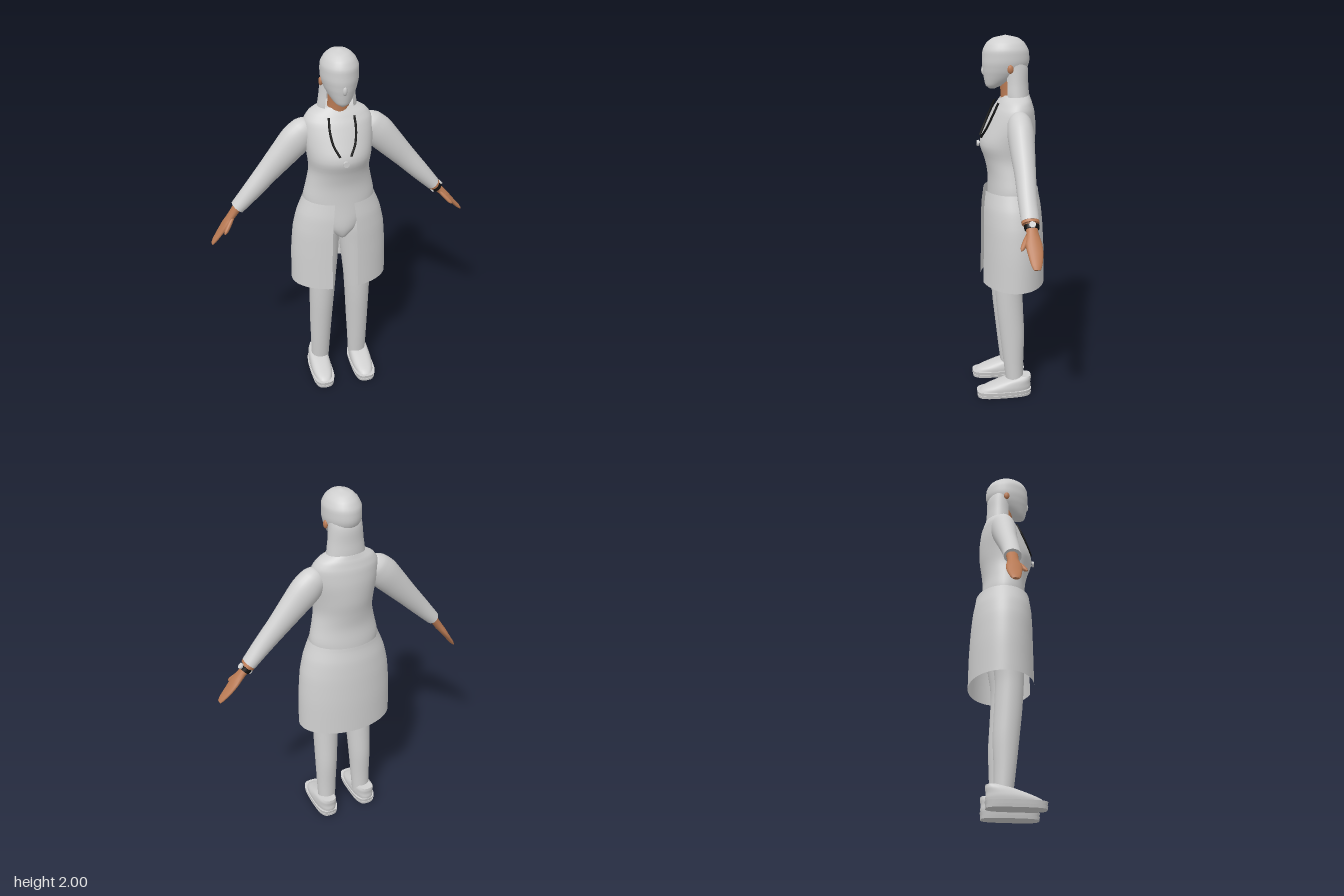
import * as THREE from 'three';

const mat = (name, color, side = THREE.FrontSide) => {
  const m = new THREE.MeshStandardMaterial({ color, side });
  m.name = name;
  return m;
};

// Smooth skin over elliptical rings [y, cx, cz, rx, rz], listed bottom to top.
// gap > 0 leaves the front open by that half angle; power < 1 squares the outline.
function loft(rings, { sides = 28, steps = 4, gap = 0, power = 1, shift = 0 } = {}) {
  const mid = new THREE.CatmullRomCurve3(rings.map(r => new THREE.Vector3(r[1], r[0], r[2])));
  const rad = new THREE.CatmullRomCurve3(rings.map(r => new THREE.Vector3(r[3], 0, r[4])));
  const rows = (rings.length - 1) * steps, cols = gap ? sides + 1 : sides;
  const pos = [], idx = [];
  const bend = v => Math.sign(v) * Math.abs(v) ** power;
  const addRing = t => {
    const c = mid.getPoint(t), r = rad.getPoint(t);
    for (let i = 0; i < cols; i++) {
      const a = gap + (i / sides) * (Math.PI * 2 - 2 * gap);
      pos.push(c.x + shift + r.x * bend(Math.sin(a)), c.y, c.z + r.z * bend(Math.cos(a)));
    }
    return c;
  };
  for (let j = 0; j <= rows; j++) addRing(j / rows);
  for (let j = 0; j < rows; j++) for (let i = 0; i < sides; i++) {
    const k = (i + 1) % cols, a = j * cols, b = a + cols;
    idx.push(a + i, a + k, b + k, a + i, b + k, b + i);
  }
  // Flat end caps
  if (!gap) for (const t of [0, 1]) {
    const start = pos.length / 3, c = addRing(t), hub = pos.length / 3;
    pos.push(c.x + shift, c.y, c.z);
    for (let i = 0; i < sides; i++) {
      const p = start + i, q = start + (i + 1) % sides;
      idx.push(hub, ...(t ? [p, q] : [q, p]));
    }
  }
  const g = new THREE.BufferGeometry();
  g.setAttribute('position', new THREE.Float32BufferAttribute(pos, 3));
  g.setIndex(idx);
  g.computeVertexNormals();
  return g;
}

export function createModel() {
  const cloth = mat('pale grey', 0xcfcfcf);
  const clothOpen = mat('pale grey open cloth', 0xcfcfcf, THREE.DoubleSide);
  const skin = mat('tan skin', 0xb97a54);
  const black = mat('black', 0x111111);
  const model = new THREE.Group();
  const body = new THREE.Group();
  body.name = 'body';
  body.position.x = -0.014;
  model.add(body);
  const add = (name, geo, material, parent = body) => {
    const m = new THREE.Mesh(geo, material);
    m.name = name;
    parent.add(m);
    return m;
  };

  // Torso with rounded pelvis
  add('torso', loft([
    [0.945, 0, 0.02, 0.012, 0.04], [0.97, 0, 0.01, 0.04, 0.09], [1.03, 0, 0, 0.12, 0.12],
    [1.11, 0, -0.008, 0.18, 0.125], [1.19, 0, -0.01, 0.193, 0.122], [1.28, 0, -0.005, 0.176, 0.118],
    [1.36, 0, 0, 0.162, 0.13], [1.44, 0, 0.006, 0.17, 0.147], [1.54, 0, -0.013, 0.183, 0.13],
    [1.62, 0, -0.027, 0.18, 0.107], [1.665, 0, -0.035, 0.15, 0.086], [1.695, 0, -0.04, 0.095, 0.07],
  ], { sides: 40 }), cloth);

  // Open-fronted coat skirt
  add('coatSkirt', loft([
    [0.67, 0, -0.02, 0.268, 0.175], [0.85, 0, -0.02, 0.265, 0.172], [1.0, 0, -0.017, 0.253, 0.167],
    [1.1, 0, -0.014, 0.23, 0.16], [1.165, 0, -0.012, 0.204, 0.15], [1.19, 0, -0.012, 0.194, 0.147],
  ], { sides: 56, gap: 0.27 }), clothOpen);

  // Head, nose, neck and hair
  add('head', loft([
    [1.728, 0, 0.085, 0.012, 0.015], [1.742, 0, 0.078, 0.036, 0.04], [1.78, 0, 0.045, 0.064, 0.083],
    [1.82, 0, 0.023, 0.084, 0.112], [1.87, 0, 0.014, 0.096, 0.124], [1.92, 0, 0.014, 0.096, 0.121],
    [1.96, 0, 0.015, 0.079, 0.1], [1.986, 0, 0.015, 0.051, 0.066], [2.0, 0, 0.015, 0.004, 0.005],
  ]), cloth);
  const nose = add('nose', new THREE.SphereGeometry(0.014, 14, 10), cloth);
  nose.scale.set(0.9, 1.9, 1);
  nose.position.set(0, 1.823, 0.128);
  add('neck', loft([[1.66, 0, -0.015, 0.06, 0.055], [1.72, 0, -0.01, 0.054, 0.052],
    [1.79, 0, 0, 0.052, 0.05]]), skin);
  add('hair', loft([
    [1.655, 0, -0.04, 0.108, 0.066], [1.7, 0, -0.036, 0.102, 0.072], [1.76, 0, -0.034, 0.094, 0.07],
    [1.83, 0, -0.03, 0.088, 0.072], [1.87, 0, -0.02, 0.085, 0.07],
  ], { gap: 0.8 }), clothOpen);

  // Neck cord and round pendant
  const pendant = add('pendant', new THREE.CylinderGeometry(0.016, 0.016, 0.012, 20), cloth);
  pendant.rotation.x = Math.PI / 2;
  pendant.position.set(0, 1.44, 0.163);

  for (const s of [-1, 1]) {
    const side = s > 0 ? 'left' : 'right';

    const cord = [[0.066, 1.66, 0.062], [0.068, 1.6, 0.09], [0.056, 1.53, 0.122], [0.028, 1.475, 0.15]]
      .map(p => new THREE.Vector3(s * p[0], p[1], p[2]));
    add(side + 'NeckCord', new THREE.TubeGeometry(new THREE.CatmullRomCurve3(cord), 20, 0.006, 8), black);

    const ear = add(side + 'Ear', new THREE.SphereGeometry(0.02, 14, 10), skin);
    ear.scale.set(0.55, 1.1, 0.8);
    ear.position.set(s * 0.092, 1.835, 0.002);

    // Trouser leg
    add(side + 'Leg', loft([
      [0.07, 0.113, -0.02, 0.051, 0.048], [0.2, 0.111, -0.012, 0.056, 0.056],
      [0.36, 0.108, -0.006, 0.063, 0.068], [0.52, 0.104, 0.006, 0.069, 0.073],
      [0.68, 0.1, 0.013, 0.076, 0.076], [0.9, 0.098, 0.002, 0.094, 0.1],
      [1.02, 0.092, 0, 0.092, 0.11], [1.13, 0.085, -0.005, 0.078, 0.105],
    ].map(([y, x, ...r]) => [y, s * x, ...r])), cloth);

    // Shoe upper and sole
    const foot = new THREE.Group();
    foot.name = side + 'Shoe';
    foot.position.x = s * 0.124;
    body.add(foot);
    add('shoeUpper', loft([
      [0.03, 0, 0.04, 0.058, 0.148], [0.05, 0, 0.028, 0.06, 0.138], [0.072, 0, 0.002, 0.058, 0.11],
      [0.096, 0, -0.035, 0.052, 0.076], [0.115, 0, -0.075, 0.038, 0.035],
    ], { power: 0.8 }), cloth, foot);
    add('sole', loft([[0, 0, 0.043, 0.06, 0.152], [0.016, 0, 0.043, 0.064, 0.154]],
      { power: 0.62, steps: 1 }), cloth, foot);
    add('soleRim', loft([[0.016, 0, 0.043, 0.061, 0.151], [0.036, 0, 0.043, 0.065, 0.155]],
      { power: 0.62, steps: 1 }), cloth, foot);

    // Sleeve, running from cuff to shoulder
    const arm = new THREE.Group();
    arm.name = side + 'Arm';
    arm.position.set(s * 0.544, 1.165, -0.03);
    arm.rotation.z = s * 0.742;
    body.add(arm);
    add('sleeve', loft([
      [0, 0, 0.003, 0.038, 0.045], [0.12, 0, 0.004, 0.05, 0.048], [0.25, 0, 0, 0.061, 0.053],
      [0.38, 0, -0.001, 0.075, 0.062], [0.48, 0, -0.002, 0.084, 0.067], [0.55, 0, -0.002, 0.074, 0.062],
      [0.59, 0, -0.002, 0.05, 0.042], [0.61, 0, -0.002, 0.004, 0.004],
    ]), cloth, arm);

    // Mitten hand with thumb
    const hand = new THREE.Group();
    hand.name = side + 'Hand';
    hand.position.set(s * 0.544, 1.165, -0.03);
    hand.rotation.z = s * (s > 0 ? 0.76 : 0.62);
    body.add(hand);
    add('palm', loft([
      [-0.255, 0, -0.002, 0.006, 0.017], [-0.23, 0, -0.002, 0.011, 0.027], [-0.17, 0, -0.003, 0.014, 0.038],
      [-0.12, 0, 0, 0.019, 0.041], [-0.06, 0, 0, 0.021, 0.029], [0.03, 0, 0, 0.026, 0.032],
    ], { sides: 16, steps: 2 }), skin, hand);
    const thumb = add('thumb', loft([
      [-0.085, 0, 0, 0.004, 0.004], [-0.07, 0, 0, 0.01, 0.011], [-0.03, 0, 0, 0.012, 0.014],
      [0.01, 0, 0, 0.01, 0.012],
    ], { sides: 12, steps: 2 }), skin, hand);
    thumb.position.set(-s * 0.006, -0.075, 0.022);
    thumb.rotation.x = -0.48;

    // Wrist band and watch on the left arm
    if (s > 0) {
      add('wristCuff', loft([[-0.014, 0, 0.003, 0.035, 0.043], [0.002, 0, 0.003, 0.036, 0.044]],
        { steps: 1 }), skin, hand);
      add('watchStrap', loft([[-0.043, 0, 0, 0.029, 0.036], [-0.022, 0, 0, 0.031, 0.038]],
        { steps: 1 }), black, hand);
      for (const x of [-1, 1]) {
        const face = add(x > 0 ? 'watchFace' : 'watchClasp',
          new THREE.CylinderGeometry(0.016, 0.016, 0.009, 18), cloth, hand);
        face.rotation.z = Math.PI / 2;
        face.position.set(x * 0.032, -0.032, 0);
      }
    }
  }
  return model;
}
